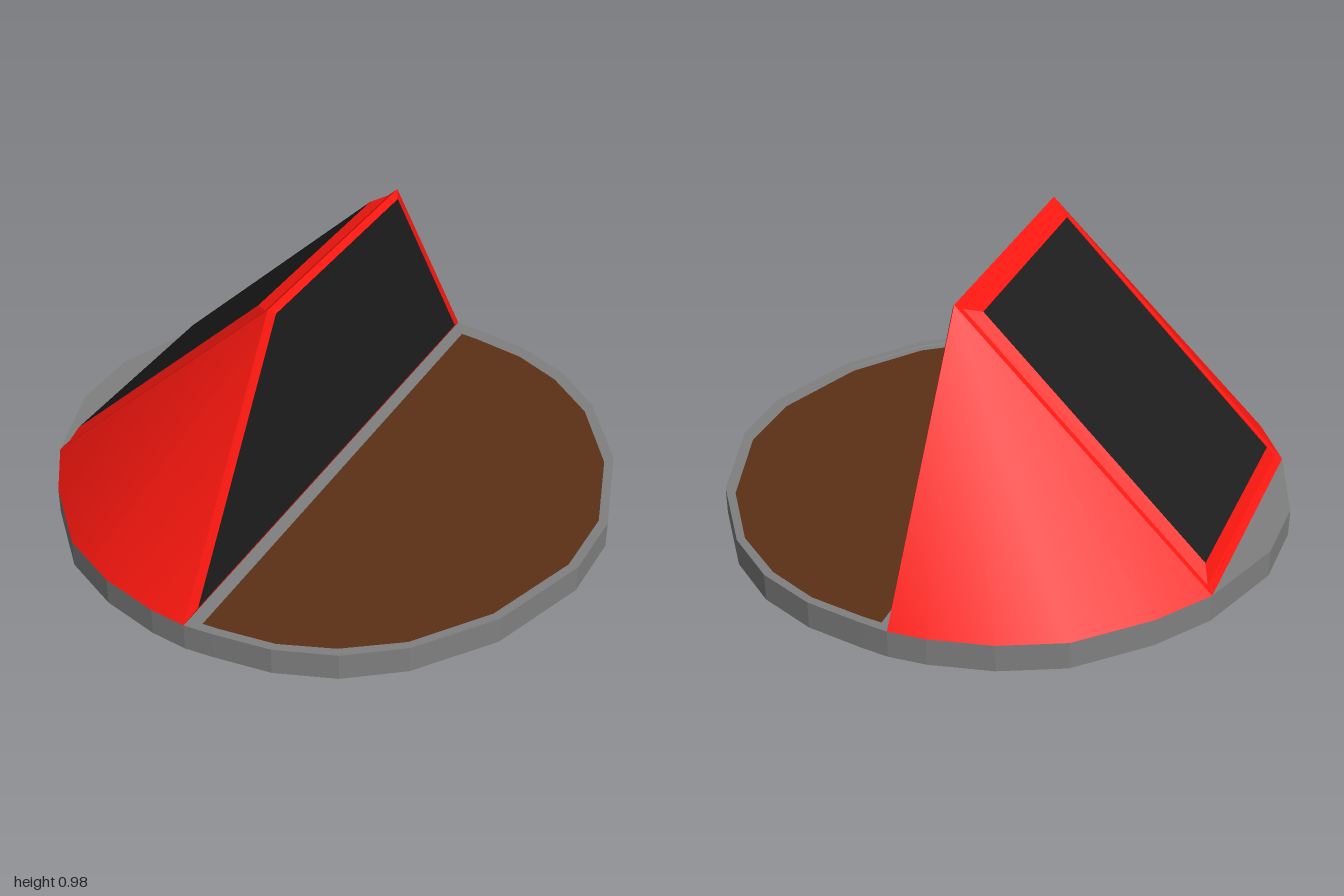
import * as THREE from 'three';

const mat = (color) => new THREE.MeshStandardMaterial({ color });
const RED = mat(0xff1810), GREY = mat(0x808080), BLACK = mat(0x1e1e1e), BROWN = mat(0x5c3117);

const FLOOR = 0.1, TOP = 0.98, RECESS = 0.025;

// half outlines (x, z) of the disc, mirrored in z when used
const LEFT_ARC = [[-0.89, 0.44], [-0.76, 0.63], [-0.55, 0.84], [-0.34, 0.94], [-0.13, 0.99], [0, 1]];
const RIGHT_ARC = [[0.1, 0.99], [0.3, 0.96], [0.5, 0.88], [0.68, 0.74], [0.87, 0.48], [0.99, 0.13]];
const INSET_ARC = [[0.035, 0.965], [0.1, 0.96], [0.3, 0.93], [0.48, 0.855], [0.66, 0.72], [0.84, 0.47], [0.957, 0.13]];

function mirroredOutline(half) {
  const back = half.map(([x, z]) => [x, -z]).reverse();
  return [...half, ...back].map(([x, z]) => new THREE.Vector2(x, z));
}

function named(name, geometry, material) {
  const mesh = new THREE.Mesh(geometry, material);
  mesh.name = name;
  return mesh;
}

// flat slab lying between two heights
function slab(shape, y0, y1) {
  const g = new THREE.ExtrudeGeometry(shape, { depth: y1 - y0, bevelEnabled: false });
  return g.rotateX(-Math.PI / 2).translate(0, y0, 0);
}

// flat-shaded quads, corners counter-clockwise from outside
function quads(list) {
  const g = new THREE.BufferGeometry();
  const pos = list.flatMap(([a, b, c, d]) => [a, b, c, a, c, d]).flat();
  g.setAttribute('position', new THREE.Float32BufferAttribute(pos, 3));
  g.computeVertexNormals();
  return g;
}

// frame running inwards through successive four-cornered loops
function frame(loops) {
  const list = [];
  for (let k = 0; k + 1 < loops.length; k++) {
    for (let i = 0; i < 4; i++) {
      const j = (i + 1) % 4;
      list.push([loops[k][i], loops[k][j], loops[k + 1][j], loops[k + 1][i]]);
    }
  }
  return quads(list);
}

// upright trapezoid facing +x
const trapezoid = (x, y0, z0, y1, z1) => [[x, y0, z0], [x, y0, -z0], [x, y1, -z1], [x, y1, z1]];
// sloping rectangle facing back and up
const slope = (x0, y0, x1, y1, z) => [[x0, y0, -z], [x0, y0, z], [x1, y1, z], [x1, y1, -z]];

// curved flank: fan from the upper corner down to the disc edge
function flank(side) {
  const pts = [...LEFT_ARC.map(([x, z]) => [x, FLOOR, z * side]), [0, TOP, 0.44 * side]];
  const apex = pts.length - 1;
  const index = [];
  for (let i = 0; i < apex - 1; i++) {
    index.push(...(side > 0 ? [i, i + 1, apex] : [i + 1, i, apex]));
  }
  const g = new THREE.BufferGeometry();
  g.setAttribute('position', new THREE.Float32BufferAttribute(pts.flat(), 3));
  g.setIndex(index);
  g.computeVertexNormals();
  return g;
}

export function createModel() {
  const model = new THREE.Group();

  // disc base with a half-round recess
  const outline = mirroredOutline([[-1, 0.13], ...LEFT_ARC, ...RIGHT_ARC]);
  const inset = mirroredOutline(INSET_ARC);
  const rim = new THREE.Shape(outline);
  rim.holes.push(new THREE.Path(inset));
  const base = new THREE.Group();
  base.name = 'base';
  base.add(
    named('baseSlab', slab(new THREE.Shape(outline), 0, FLOOR - RECESS), GREY),
    named('baseRim', slab(rim, FLOOR - RECESS, FLOOR), GREY),
    named('recessFloor', slab(new THREE.Shape(inset), FLOOR - RECESS - 0.01, FLOOR - RECESS + 0.002), BROWN),
  );
  model.add(base);

  // wedge body
  const wedge = new THREE.Group();
  wedge.name = 'wedge';
  wedge.add(named('leftFlank', flank(1), RED), named('rightFlank', flank(-1), RED));

  // upright face: bevelled frame and dark panel
  const upright = trapezoid(0.015, 0.13, 0.935, 0.957, 0.415);
  wedge.add(
    named('uprightFrame', frame([trapezoid(0, FLOOR, 1, TOP, 0.44), upright]), RED),
    named('uprightPanel', quads([upright]), BLACK),
  );

  // sloping face: flat border, raised bevel and dark panel
  const ramp = slope(-0.845, 0.175, -0.073, 0.94, 0.378);
  wedge.add(
    named('rampFrame', frame([
      slope(-0.89, FLOOR, 0, TOP, 0.44),
      slope(-0.868, 0.122, -0.022, 0.96, 0.42),
      ramp,
    ]), RED),
    named('rampPanel', quads([ramp]), BLACK),
  );
  model.add(wedge);
  return model;
}
